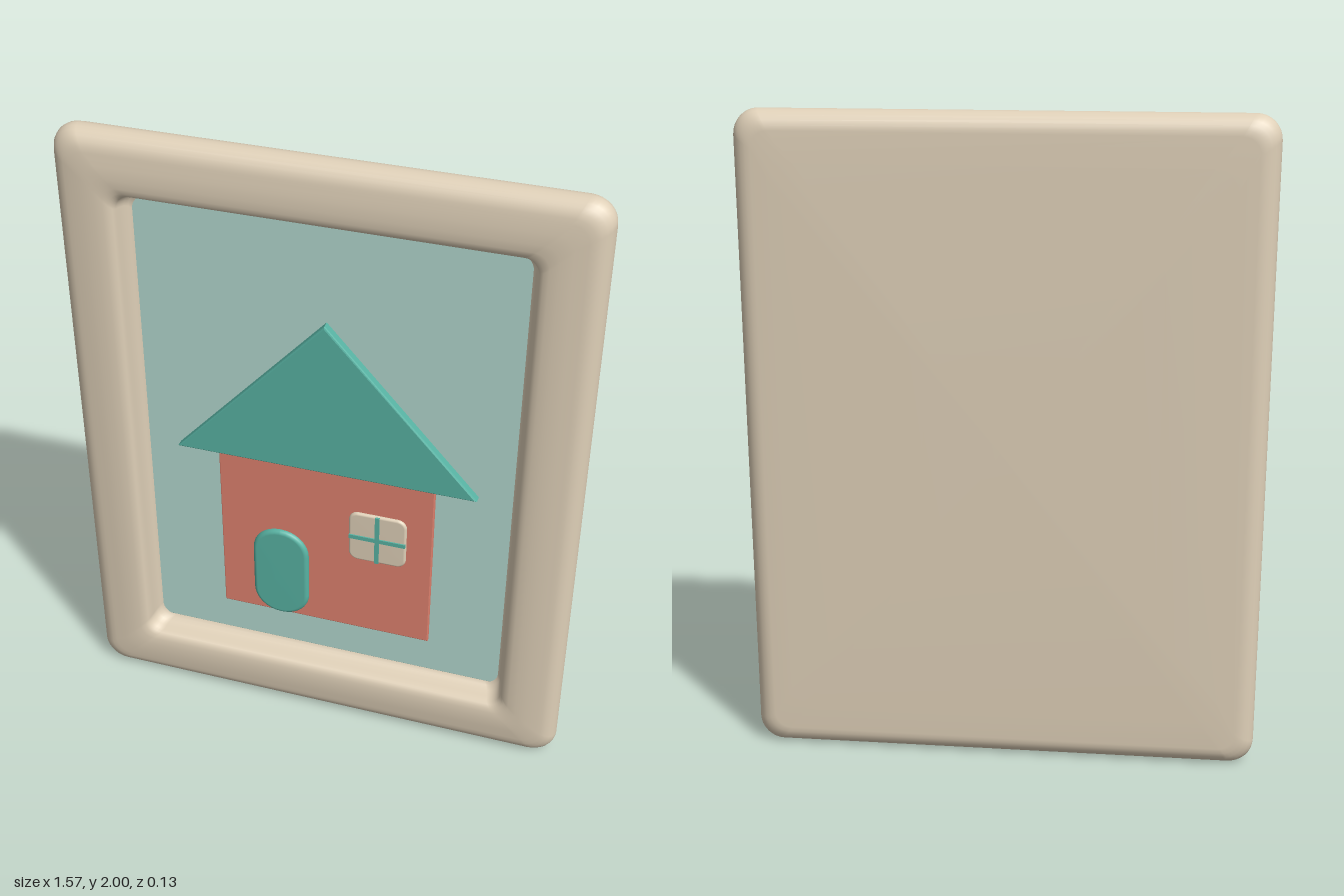
import * as THREE from 'three';

const material = (color) => new THREE.MeshStandardMaterial({ color });
const cream = material(0xdfd0b8);
const teal = material(0x58b3a3);
const coral = material(0xe0826f);
const sky = material(0xb3d9cf);

// Skin through rounded-rectangle rings [halfWidth, halfHeight, cornerRadius, z], listed back to front.
function loft(rings, steps = 8) {
  const pos = [], idx = [], n = 4 * (steps + 1);
  for (const [hw, hh, radius, z] of rings) {
    const r = Math.min(radius, hw, hh);
    for (let c = 0; c < 4; c++) {
      const sx = c === 0 || c === 3 ? 1 : -1, sy = c < 2 ? 1 : -1;
      for (let s = 0; s <= steps; s++) {
        const a = (c + s / steps) * Math.PI / 2;
        pos.push(sx * (hw - r) + r * Math.cos(a), sy * (hh - r) + r * Math.sin(a), z);
      }
    }
  }
  for (let k = 0; k < rings.length - 1; k++) {
    for (let i = 0; i < n; i++) {
      const j = (i + 1) % n, a = k * n + i, b = k * n + j;
      idx.push(a, b, b + n, a, b + n, a + n);
    }
  }
  const g = new THREE.BufferGeometry();
  g.setAttribute('position', new THREE.Float32BufferAttribute(pos, 3));
  g.setIndex(idx);
  g.computeVertexNormals();
  return g;
}

// Softly rounded tile: straight sides, curved front edge, nearly flat face.
function pillow(hw, hh, r, depth, edge) {
  const rings = [[hw, hh, r, 0], [hw, hh, r, depth - edge]];
  for (let i = 1; i <= 5; i++) {
    const a = i / 5 * Math.PI / 2, inset = edge * (1 - Math.cos(a));
    rings.push([hw - inset, hh - inset, Math.max(r - inset, 0.002), depth - edge + edge * Math.sin(a)]);
  }
  rings.push([0, 0, 0, depth]);
  return loft(rings);
}

function extrude(points, depth, bevel) {
  const shape = new THREE.Shape(points.map(([x, y]) => new THREE.Vector2(x, y)));
  const g = new THREE.ExtrudeGeometry(shape, {
    depth: depth - bevel, bevelEnabled: true, bevelSize: bevel,
    bevelThickness: bevel, bevelOffset: -bevel, bevelSegments: 2,
  });
  return g;
}

export function createModel() {
  const group = new THREE.Group();
  const add = (name, geometry, mat, x, y, z, parent = group) => {
    const mesh = new THREE.Mesh(geometry, mat);
    mesh.name = name;
    mesh.position.set(x, y, z);
    parent.add(mesh);
    return mesh;
  };

  // Frame: slightly domed back, rounded rim, soft front border, sloping recess
  const W = 0.785, H = 1, R = 0.075;
  const rings = [[0, 0, 0, -0.067]];
  for (const t of [0.3, 0.6, 0.85]) rings.push([W * t, H * t, R * t, -0.067 + 0.012 * t * t]);
  for (let i = 0; i <= 12; i++) {
    const a = -Math.PI / 2 + i / 12 * Math.PI;
    const inset = 0.06 * (1 - Math.cos(a));
    rings.push([W - inset, H - inset, R - inset * 0.4, 0.056 * Math.sin(a)]);
  }
  const lip = [[0.095, 0.061], [0.13, 0.062], [0.155, 0.06], [0.17, 0.056], [0.18, 0.049],
    [0.185, 0.038], [0.188, 0.02], [0.193, 0], [0.2, -0.015], [0.212, -0.022]];
  for (const [inset, z] of lip) rings.push([W - inset, H - inset, 0.045, z]);
  add('frame', loft(rings), cream, 0, 1, 0);

  // Picture panel at the bottom of the recess
  add('picturePanel', pillow(0.58, 0.793, 0.035, 0.012, 0.002), sky, 0, 1.005, -0.032);

  // House
  const house = new THREE.Group();
  house.name = 'house';
  group.add(house);
  add('houseWall', extrude([[-0.343, 0.345], [0.343, 0.345], [0.343, 0.97], [-0.343, 0.97]], 0.02, 0.003),
    coral, 0, 0, -0.025, house);
  add('roof', extrude([[-0.473, 0.953], [0.473, 0.953], [0, 1.475]], 0.03, 0.006),
    teal, 0, 0, -0.023, house);
  add('door', pillow(0.092, 0.171, 0.09, 0.024, 0.014), teal, -0.146, 0.518, -0.015, house);

  // Window: backing panel, four panes and a cross
  const windowGroup = new THREE.Group();
  windowGroup.name = 'window';
  windowGroup.position.set(0.17, 0.728, -0.012);
  house.add(windowGroup);
  add('windowPanel', pillow(0.092, 0.092, 0.03, 0.016, 0.008), cream, 0, 0, 0, windowGroup);
  add('windowBarVertical', new THREE.BoxGeometry(0.014, 0.18, 0.02), teal, 0, 0, 0.01, windowGroup);
  add('windowBarHorizontal', new THREE.BoxGeometry(0.18, 0.014, 0.02), teal, 0, 0, 0.01, windowGroup);

  return group;
}
